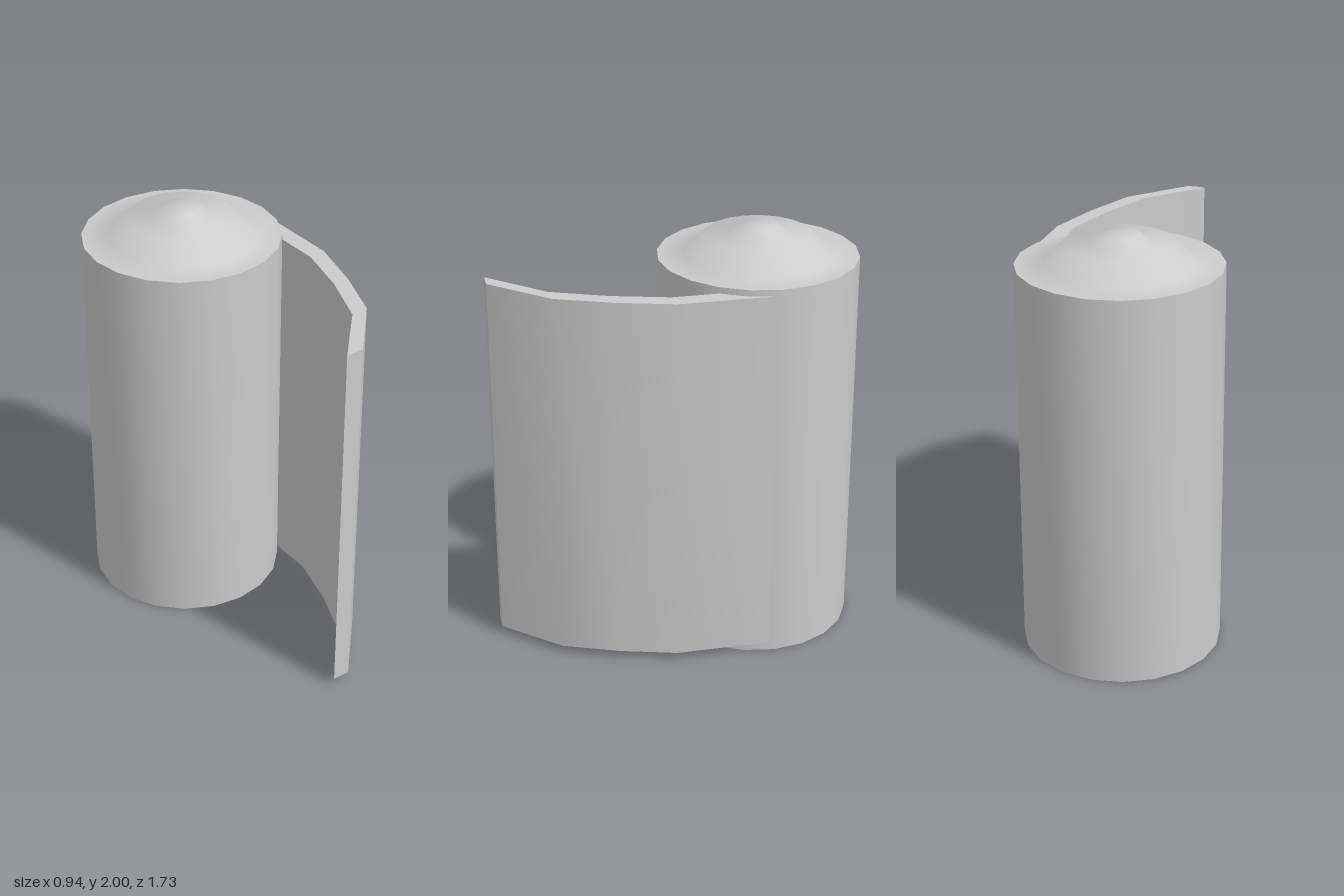
import * as THREE from 'three';
import { toCreasedNormals } from 'three/addons/utils/BufferGeometryUtils.js';

const material = new THREE.MeshStandardMaterial({ color: 0xcccccc });
const points = (list) => list.map(([a, b]) => new THREE.Vector2(a, b));

function addMesh(group, name, geometry, crease) {
  const mesh = new THREE.Mesh(toCreasedNormals(geometry, crease), material);
  mesh.name = name;
  group.add(mesh);
  return mesh;
}

export function createModel() {
  const model = new THREE.Group();
  model.name = 'rollCanister';

  // Canister: recessed base, straight wall and stepped crown in one profile
  const profile = points([
    [0, 0.08], [0.25, 0.08], [0.345, 0], [0.468, 0],
    [0.468, 1.86], [0.345, 1.86], [0.25, 1.955], [0.14, 1.955], [0.09, 2], [0, 2],
  ]);
  const canister = addMesh(model, 'canister', new THREE.LatheGeometry(profile, 20), Math.PI / 3);
  canister.position.z = -0.397;

  // Curling strip: plan outline as (x, z), extruded upwards
  const outer = [[0.465, -0.37], [0.465, 0.08], [0.39, 0.35], [0.29, 0.605], [0.055, 0.865]];
  const inner = [[-0.03, 0.865], [0.205, 0.61], [0.31, 0.35], [0.38, 0.09], [0.38, -0.37]];
  const outline = new THREE.Shape(points([...outer, ...inner].map(([x, z]) => [x, -z])));
  const stripGeometry = new THREE.ExtrudeGeometry(outline, { depth: 1.79, bevelEnabled: false });
  stripGeometry.rotateX(-Math.PI / 2);
  const strip = addMesh(model, 'strip', stripGeometry, 0.6);
  strip.position.y = 0.04;

  return model;
}
